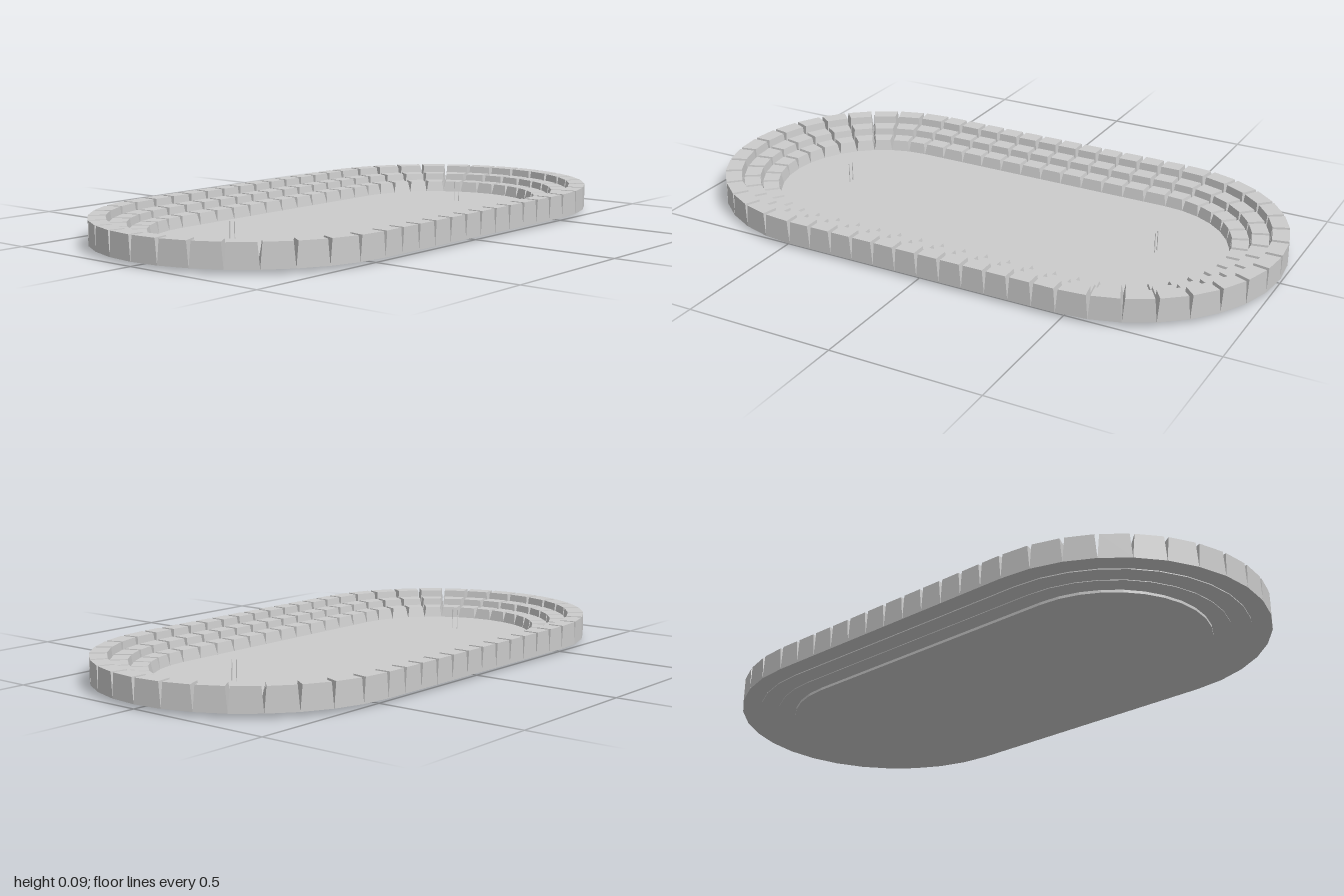
import * as THREE from 'three';

const HALF = 0.48; // half length of the straight sides
const COLUMNS = 12; // blocks along each straight
const ARC = 16; // blocks around each end

// Cross lines around the oval: an anchor on the long axis and an outward direction
function crossLines() {
  const lines = [];
  for (const side of [1, -1]) {
    for (let i = 0; i < ARC; i++) {
      const a = -Math.PI / 2 + (Math.PI * i) / ARC;
      lines.push({ x: side * HALF, dx: side * Math.cos(a), dz: side * Math.sin(a) });
    }
    for (let i = 0; i < COLUMNS; i++) {
      lines.push({ x: side * HALF * (1 - (2 * i) / COLUMNS), dx: 0, dz: side });
    }
  }
  return lines;
}

// Seat block between two cross lines: the base meets its neighbours, the top is narrower
function blockGeometry(a, b, tier) {
  const ring = (y, rIn, rOut, inset) => {
    const at = (l, r) => new THREE.Vector3(l.x + l.dx * r, y, l.dz * r);
    const edge = (r) => {
      const p = at(a, r), q = at(b, r);
      const step = q.clone().sub(p).setLength(inset);
      return [p.add(step), q.sub(step)];
    };
    const [i0, i1] = edge(rIn), [o0, o1] = edge(rOut);
    return [i0, i1, o1, o0];
  };
  const corners = [
    ...ring(tier.bottom, tier.rIn, tier.rOut, 0),
    ...ring(tier.top, tier.rIn + 0.008, tier.rOut, 0.007),
  ];
  const geo = new THREE.BufferGeometry();
  geo.setAttribute('position', new THREE.Float32BufferAttribute(corners.flatMap((p) => p.toArray()), 3));
  const index = [0, 1, 2, 0, 2, 3, 4, 6, 5, 4, 7, 6];
  for (let i = 0; i < 4; i++) {
    const j = (i + 1) % 4;
    index.push(i, i + 4, j, j, i + 4, j + 4);
  }
  geo.setIndex(index);
  const flat = geo.toNonIndexed();
  flat.computeVertexNormals();
  return flat;
}

export function createModel() {
  const model = new THREE.Group();
  const mat = new THREE.MeshStandardMaterial({ color: 0xcccccc, flatShading: true, side: THREE.DoubleSide });
  const add = (parent, geo, name) => {
    const mesh = new THREE.Mesh(geo, mat);
    mesh.name = name;
    parent.add(mesh);
    return mesh;
  };
  const lines = crossLines();

  // Oval floor slab
  const outline = new THREE.Shape(lines.map((l) => new THREE.Vector2(l.x + l.dx * 0.335, -l.dz * 0.335)));
  const floor = new THREE.ExtrudeGeometry(outline, { depth: 0.011, bevelEnabled: false });
  floor.rotateX(-Math.PI / 2);
  add(model, floor, 'floor');

  // Three stepped tiers of seat blocks, rising outwards
  const tiers = [
    { name: 'innerTier', rIn: 0.332, rOut: 0.394, bottom: 0.009, top: 0.048 },
    { name: 'middleTier', rIn: 0.394, rOut: 0.457, bottom: 0.011, top: 0.07 },
    { name: 'outerTier', rIn: 0.457, rOut: 0.52, bottom: 0.014, top: 0.093 },
  ];
  for (const tier of tiers) {
    const group = new THREE.Group();
    group.name = tier.name;
    lines.forEach((line, i) => {
      add(group, blockGeometry(line, lines[(i + 1) % lines.length], tier), 'seatBlock');
    });
    model.add(group);
  }

  // A pair of thin posts at each end of the floor
  for (const x of [-0.585, 0.585]) {
    const posts = new THREE.Group();
    posts.name = 'goalPosts';
    for (const z of [-0.01, 0.01]) {
      add(posts, new THREE.CylinderGeometry(0.0015, 0.0015, 0.07, 6), 'post').position.set(x, 0.045, z);
    }
    model.add(posts);
  }
  return model;
}
